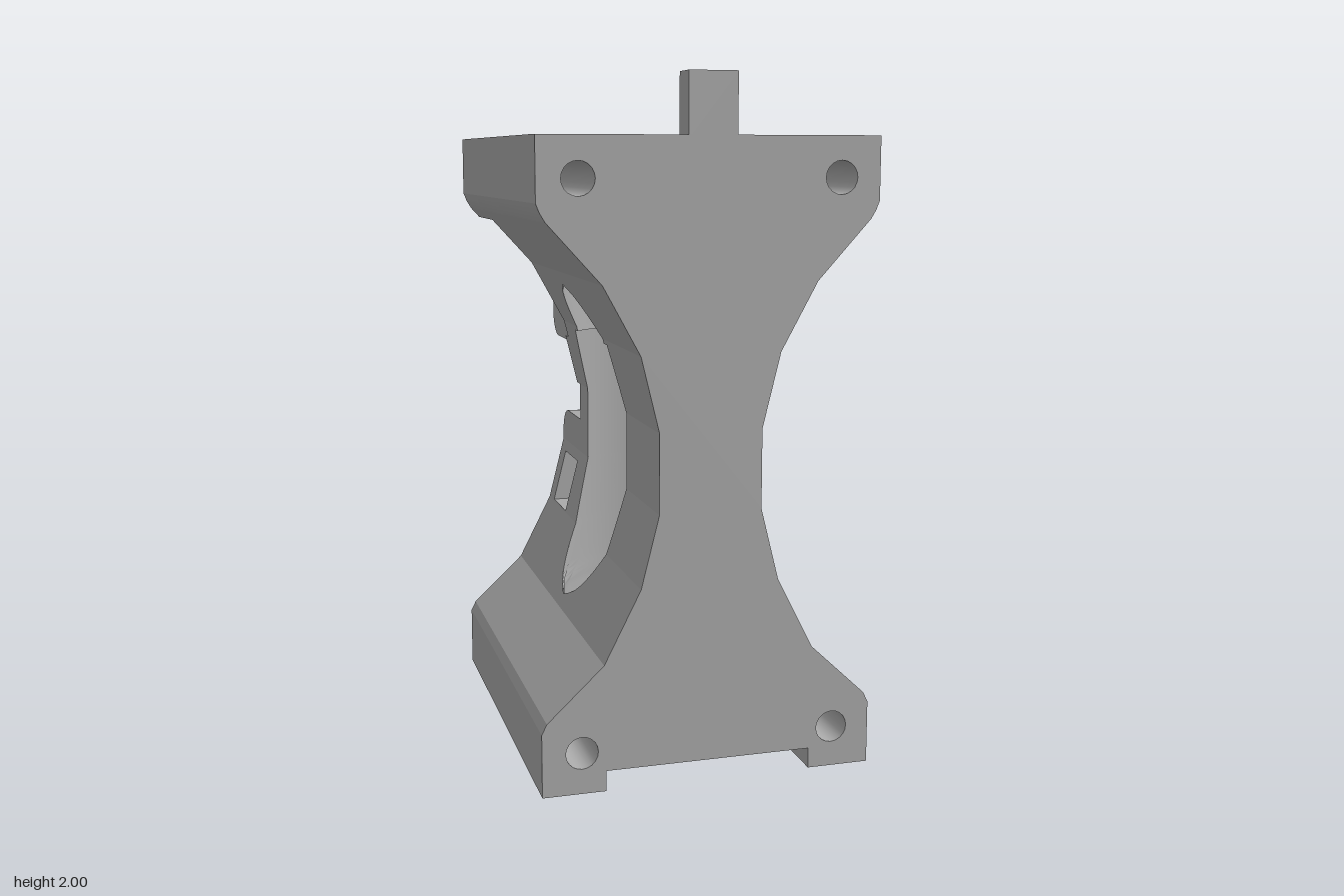
import * as THREE from 'three';
import { toCreasedNormals } from 'three/addons/utils/BufferGeometryUtils.js';

const FRONT = 0.665, BACK = -0.55, NECK = -0.29, ZC = 0.065, TOP = 1.83, SLOT = 0.06, STEP = 1.22;

// Half width of the hourglass at its height knots: [y, x]
const PROFILE = [[0, 0.49], [0.185, 0.49], [0.215, 0.475], [0.37, 0.31], [0.58, 0.203], [0.79, 0.15], [1.02, 0.15],
  [1.235, 0.203], [1.43, 0.31], [1.6, 0.465], [1.625, 0.48], [1.65, 0.49], [TOP, 0.49]];
// Bore radius, below and above the internal step: [y, r]
const LOWER_BORE = [[SLOT, 0.265], [0.39, 0.288], [STEP, 0.287]];
const UPPER_BORE = [[STEP, 0.263], [1.4, 0.283], [TOP, 0.279]];

function sample(table, y) {
  for (let i = 1; i < table.length; i++) {
    const [y0, a] = table[i - 1], [y1, b] = table[i];
    if (y <= y1) return a + (b - a) * Math.max(0, (y - y0) / (y1 - y0));
  }
  return table[table.length - 1][1];
}
const width = (y) => sample(PROFILE, y);
const radius = (y) => (y < SLOT ? 0 : sample(y <= STEP ? LOWER_BORE : UPPER_BORE, y));

// Heights from y0 to y1, including every profile knot
function heights(y0, y1, step = 0.02) {
  const ys = [y0, y1, ...PROFILE.map((p) => p[0]).filter((y) => y > y0 && y < y1)];
  for (let y = y0 + step; y < y1 - 0.001; y += step) ys.push(y);
  return ys.sort((a, b) => a - b);
}

// Grid surface through rows of points
function loft(rows, flip = false, crease = 0.2) {
  const n = rows[0].length, index = [];
  for (let j = 0; j < rows.length - 1; j++) {
    for (let i = 0; i < n - 1; i++) {
      const a = j * n + i, b = a + 1, c = a + n, d = c + 1;
      index.push(...(flip ? [a, c, b, b, c, d] : [a, b, c, b, d, c]));
    }
  }
  const g = new THREE.BufferGeometry();
  g.setAttribute('position', new THREE.Float32BufferAttribute(rows.flat(2), 3));
  g.setIndex(index);
  return toCreasedNormals(g, crease);
}

const poly = (pts) => new THREE.Shape(pts.map((p) => new THREE.Vector2(p[0], p[1])));
const rect = (x0, x1, y0, y1) => poly([[x0, y0], [x1, y0], [x1, y1], [x0, y1]]);
function pierce(shape, x, y, r, n = 20) {
  const pts = [];
  for (let i = 0; i < n; i++) {
    const t = -i / n * Math.PI * 2;
    pts.push(new THREE.Vector2(x + r * Math.cos(t), y + r * Math.sin(t)));
  }
  shape.holes.push(new THREE.Path(pts));
  return shape;
}
const rightEdge = (y0, y1) => [y0, ...PROFILE.map((p) => p[0]).filter((y) => y > y0 && y < y1), y1].map((y) => [width(y), y]);
const mirrored = (pts) => pts.map(([x, y]) => [-x, y]).reverse();
const outline = (y0, y1) => [...rightEdge(y0, y1), ...mirrored(rightEdge(y0, y1))];

export function createModel() {
  const model = new THREE.Group();
  model.name = 'bracket';
  const grey = new THREE.MeshStandardMaterial({ color: 0xaaaaaa, side: THREE.DoubleSide });
  grey.name = 'plain grey';
  const add = (name, g) => {
    const m = new THREE.Mesh(g, grey);
    m.name = name;
    model.add(m);
    return m;
  };
  const facing = (shape, z, back) => {
    const g = new THREE.ShapeGeometry(shape, 16);
    if (back) g.rotateY(Math.PI);
    return g.translate(0, 0, z);
  };
  const level = (shape, y, down) => new THREE.ShapeGeometry(shape, 16).rotateX(down ? Math.PI / 2 : -Math.PI / 2).translate(0, y, 0);
  const sideways = (shape, x) => new THREE.ShapeGeometry(shape, 16).rotateY(Math.PI / 2).translate(x, 0, 0);
  const tube = (r, len) => new THREE.CylinderGeometry(r, r, len, 20, 1, true);
  const box = (name, x0, x1, y0, y1, z0, z1) =>
    add(name, new THREE.BoxGeometry(x1 - x0, y1 - y0, z1 - z0).translate((x0 + x1) / 2, (y0 + y1) / 2, (z0 + z1) / 2));

  // Front plate face
  const front = poly([...rightEdge(0, TOP), ...mirrored(rightEdge(0, TOP)), [-0.305, 0], [-0.305, SLOT], [0.305, SLOT], [0.305, 0]]);
  const upperBack = poly(outline(1.57, TOP));
  // Back face with fork slot and arched pocket
  const arch = [[-0.27, SLOT], [-0.27, 0.14], [-0.245, 0.18], [-0.19, 0.24], [-0.15, 0.255],
    [0.15, 0.255], [0.19, 0.24], [0.245, 0.18], [0.27, 0.14], [0.27, SLOT]];
  const lowerBack = poly([...rightEdge(0, 0.82), [0.08, 0.82], [0.08, 0.42], [-0.08, 0.42], [-0.08, 0.82],
    ...mirrored(rightEdge(0, 0.82)), [-0.305, 0], [-0.305, SLOT], ...arch, [0.305, SLOT], [0.305, 0]]);
  for (const x of [-0.375, 0.375]) {
    for (const y of [0.12, 1.715]) {
      pierce(front, x, y, 0.047);
      pierce(y < 1 ? lowerBack : upperBack, x, y, 0.047);
      add('boltHole', tube(0.047, FRONT - BACK).rotateX(Math.PI / 2).translate(x, y, (FRONT + BACK) / 2));
    }
  }
  add('frontFace', facing(front, FRONT));
  add('upperBackFace', facing(upperBack, BACK, true));
  add('lowerBackFace', facing(lowerBack, BACK, true));
  add('neckBackFace', facing(poly(outline(0.42, 1.57)), NECK, true));

  // Pocket walls
  add('pocketWalls', loft([BACK, -0.3].map((z) => arch.map(([x, y]) => [x, y, z])), true, 0.7));
  add('pocketEnd', facing(poly(arch), -0.3, true));

  // Top, underside and overhang
  add('topFace', level(pierce(rect(-0.49, 0.49, -FRONT, -BACK), 0, -ZC, radius(TOP)), TOP));
  add('channelCeiling', level(pierce(poly([[-0.305, BACK], [-0.27, BACK], [-0.27, -0.3], [0.27, -0.3], [0.27, BACK],
    [0.305, BACK], [0.305, FRONT], [-0.305, FRONT]]), 0, ZC, radius(SLOT)), SLOT, true));
  add('overhang', level(rect(-width(1.57), width(1.57), BACK, NECK), 1.57, true));
  add('forkFloor', level(rect(-0.08, 0.08, -NECK, -BACK), 0.42));

  // Bore in two facing halves, cut away where it breaks through the waist
  const bore = [...heights(SLOT, STEP).map((y) => [y, radius(y)]), ...heights(STEP, TOP).map((y) => [y, sample(UPPER_BORE, y)])];
  for (const dir of [1, -1]) {
    add('boreHalf', loft(bore.map(([y, r]) => {
      const t0 = Math.acos(Math.min(1, width(y) / r));
      return Array.from({ length: 11 }, (_, i) => {
        const t = t0 + (Math.PI - 2 * t0) * i / 10;
        return [r * Math.cos(t), y, ZC + dir * r * Math.sin(t)];
      });
    }), dir < 0, 0.6));
  }

  for (const s of [1, -1]) {
    const wall = (name, ys, z0, z1) =>
      add(name, loft(ys.map((y) => [[s * width(y), y, z0(y)], [s * width(y), y, z1(y)]]), s > 0));
    const at = (z) => () => z;

    // Main side walls around the oval opening
    const gap = (r, y) => Math.sqrt(Math.max(0, r * r - width(y) ** 2));
    for (const [y0, y1, table] of [[0, STEP, LOWER_BORE], [STEP, TOP, UPPER_BORE]]) {
      const ys = heights(y0, y1, 0.015);
      wall('sideWallFront', ys, (y) => ZC + gap(sample(table, y), y), at(FRONT));
      wall('sideWallBack', ys, at(NECK), (y) => ZC - gap(sample(table, y), y));
    }
    // Rear side walls, leaving the nut recess open
    const roundBack = (y) => -0.47 - Math.sqrt(Math.max(0, 0.0064 - Math.max(0, y - 0.82) ** 2));
    wall('rearFoot', heights(0, 0.585), at(BACK), at(NECK));
    wall('forkSide', heights(0.585, 0.755), at(BACK), at(-0.48));
    wall('forkSide', heights(0.585, 0.755), at(-0.3), at(NECK));
    wall('forkSide', heights(0.755, 0.9, 0.01), roundBack, at(NECK));
    wall('rearHead', heights(1.57, TOP), at(BACK), at(NECK));

    // Rounded top of the lower fork
    const cap = [];
    for (let i = 0; i <= 8; i++) {
      const t = i / 8 * Math.PI / 2;
      cap.push([0.82 + 0.08 * Math.sin(t), -0.47 - 0.08 * Math.cos(t)]);
    }
    cap.push([0.9, NECK]);
    add('forkCap', loft(cap.map(([y, z]) => [[s * 0.08, y, z], [s * width(y), y, z]]), s > 0, 0.4));
    const inner = poly([[-NECK, 0.42], [-BACK, 0.42], ...cap.map(([y, z]) => [-z, y])]);
    add('forkInnerFace', sideways(pierce(inner, 0.385, 0.67, 0.037), s * 0.08));

    // Square nut recess with its pin hole
    add('nutRecessFloor', sideways(pierce(rect(0.3, 0.48, 0.585, 0.755), 0.385, 0.67, 0.037), s * 0.115));
    const ring = [[0.585, -0.48], [0.585, -0.3], [0.755, -0.3], [0.755, -0.48], [0.585, -0.48]];
    add('nutRecessWalls', loft([ring.map(([y, z]) => [s * 0.115, y, z]), ring.map(([y, z]) => [s * width(y), y, z])], s < 0));
    add('pinHole', tube(0.037, 0.035).rotateZ(Math.PI / 2).translate(s * 0.0975, 0.67, -0.385));

    // Upper hinge lug
    const lug = new THREE.Shape();
    lug.moveTo(0.28, 1.165);
    lug.lineTo(0.47, 1.165);
    lug.absarc(0.47, 1.245, 0.08, -Math.PI / 2, 0, false);
    lug.lineTo(0.55, 1.575);
    lug.lineTo(0.28, 1.575);
    pierce(lug, 0.415, 1.34, 0.06);
    add('upperLug', toCreasedNormals(new THREE.ExtrudeGeometry(lug, { depth: 0.065, bevelEnabled: false, curveSegments: 8 })
      .rotateY(Math.PI / 2).translate(s > 0 ? 0.118 : -0.183, 0, 0), 0.5));

    // Channel sides and foot soles
    add('channelSide', sideways(rect(-FRONT, -BACK, 0, SLOT), s * 0.305));
    add('footSole', level(rect(Math.min(s * 0.305, s * 0.49), Math.max(s * 0.305, s * 0.49), BACK, FRONT), 0, true));
  }

  // Small ledge under the upper lugs
  add('ledge', new THREE.ExtrudeGeometry(poly(outline(1.02, 1.18)), { depth: 0.045, bevelEnabled: false }).translate(0, 0, -0.33));

  // Upright key on the front edge
  box('topKey', -0.07, 0.07, TOP - 0.01, 2, 0.58, FRONT);

  // Rounded tongue on the back, on a narrower neck
  const tongue = new THREE.Shape();
  tongue.absarc(0.115, 1.788, 0.041, -Math.PI / 2, Math.PI / 2, false);
  tongue.absarc(-0.115, 1.788, 0.041, Math.PI / 2, Math.PI * 1.5, false);
  add('backTongue', toCreasedNormals(new THREE.ExtrudeGeometry(tongue, { depth: 0.107, bevelEnabled: false, curveSegments: 8 })
    .translate(0, 0, -0.665), 0.5));
  box('tongueNeck', -0.115, 0.115, 1.747, 1.829, -0.56, -0.545);

  return model;
}
